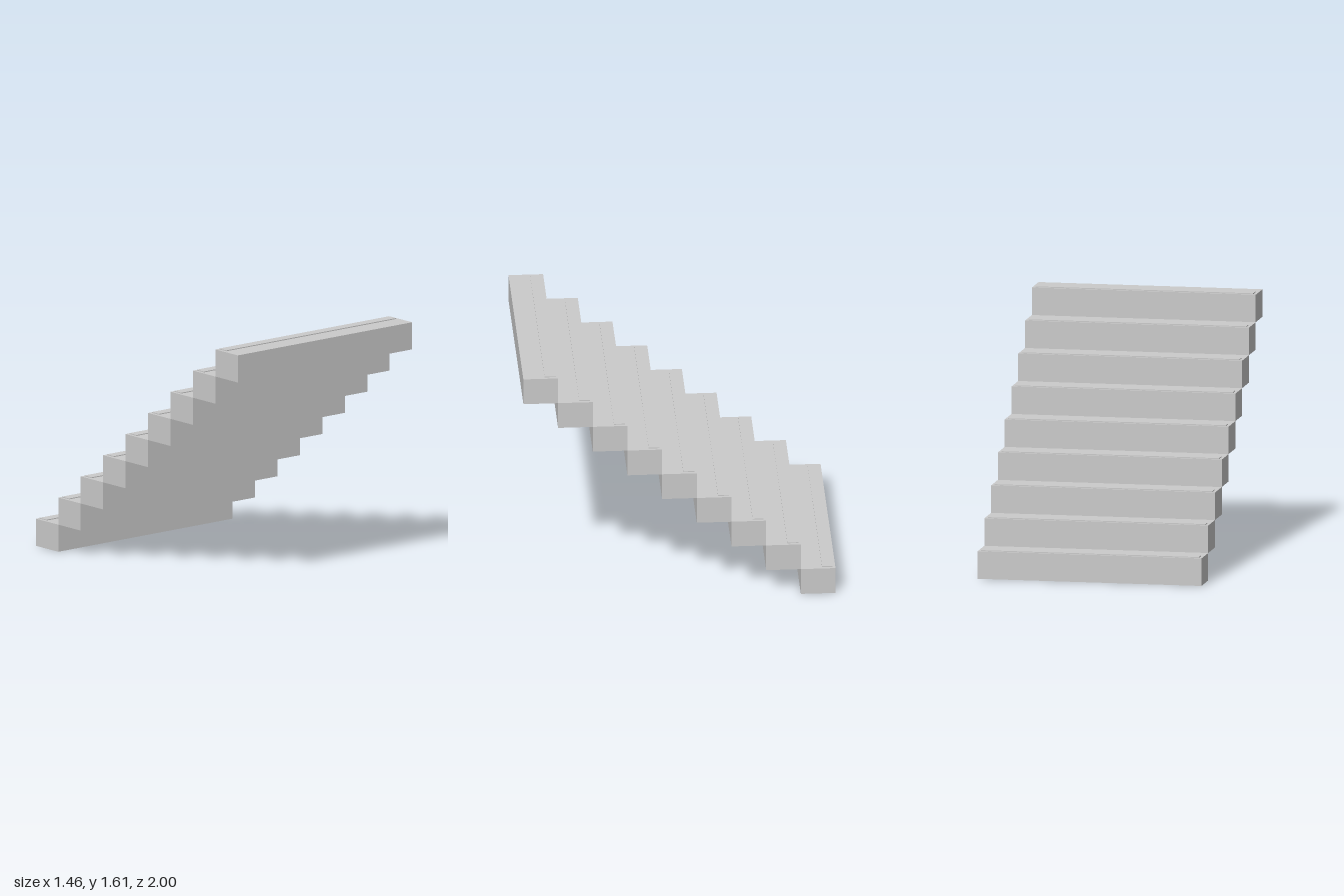
import * as THREE from 'three';

const STEPS = 9;
const WIDTH = 1.46;
const DEPTH = 2 / STEPS;
const RISE = 0.178;
const STRIP = { width: 1.42, height: 0.006, depth: 0.07, inset: 0.015 };

export function createModel() {
  const group = new THREE.Group();
  group.name = 'staircase';
  const material = new THREE.MeshStandardMaterial({ color: 0xcccccc, flatShading: true });
  const blockGeometry = new THREE.BoxGeometry(WIDTH, RISE, DEPTH);
  const stripGeometry = new THREE.BoxGeometry(STRIP.width, STRIP.height, STRIP.depth);

  // The flight climbs from the back (-z) to the front (+z)
  for (let i = 0; i < STEPS; i++) {
    const step = new THREE.Group();
    step.name = `step${i + 1}`;
    step.position.set(0, i * RISE, -1 + (i + 0.5) * DEPTH);

    // Solid step block
    const block = new THREE.Mesh(blockGeometry, material);
    block.name = 'stepBlock';
    block.position.y = RISE / 2;

    // Thin anti-slip strip beside the nosing
    const strip = new THREE.Mesh(stripGeometry, material);
    strip.name = 'gripStrip';
    strip.position.set(0, RISE + STRIP.height / 2, -DEPTH / 2 + STRIP.inset + STRIP.depth / 2);

    step.add(block, strip);
    group.add(step);
  }
  return group;
}
